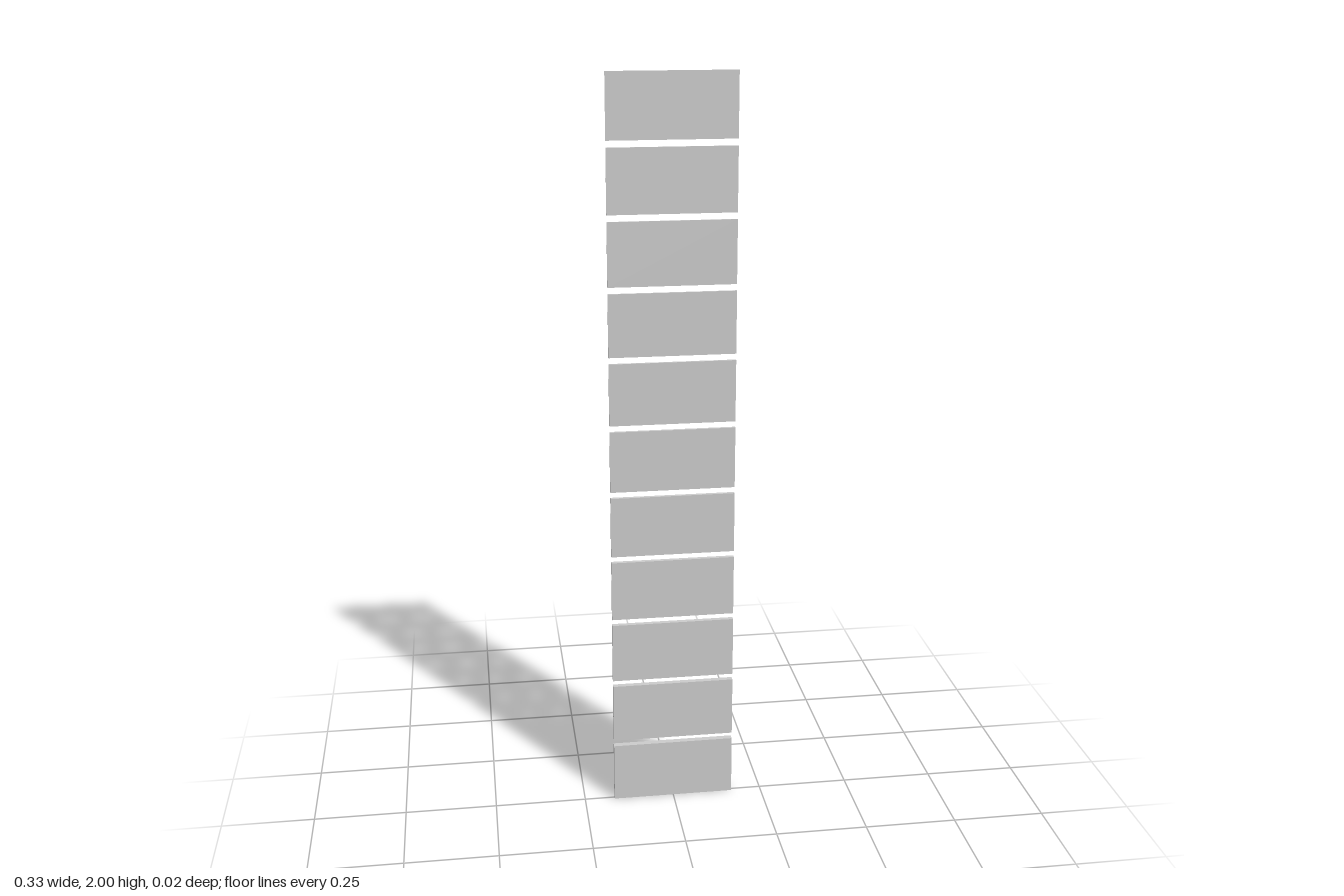
import * as THREE from 'three';

export function createModel() {
  const group = new THREE.Group();
  group.name = 'panelColumn';
  const material = new THREE.MeshStandardMaterial({ color: 0xcccccc });
  const sheetMaterial = new THREE.MeshStandardMaterial({ color: 0xcccccc, side: THREE.DoubleSide });

  // Panels are one unit high, two wide, and share a flush back plane
  const count = 11;
  const unit = 1 / 6;
  const pitch = 1.1 * unit;
  const maxDepth = 0.1 * unit;
  const backZ = -maxDepth / 2;

  // Each panel is thinner than the one below; the top one is a bare sheet
  for (let i = 0; i < count; i++) {
    const depth = maxDepth * (1 - i / (count - 1));
    const isSheet = i === count - 1;
    const geometry = isSheet
      ? new THREE.PlaneGeometry(2 * unit, unit)
      : new THREE.BoxGeometry(2 * unit, unit, depth);
    const panel = new THREE.Mesh(geometry, isSheet ? sheetMaterial : material);
    panel.name = isSheet ? 'topSheet' : `panel${i + 1}`;
    panel.position.set(0, unit / 2 + i * pitch, backZ + depth / 2);
    group.add(panel);
  }
  return group;
}
